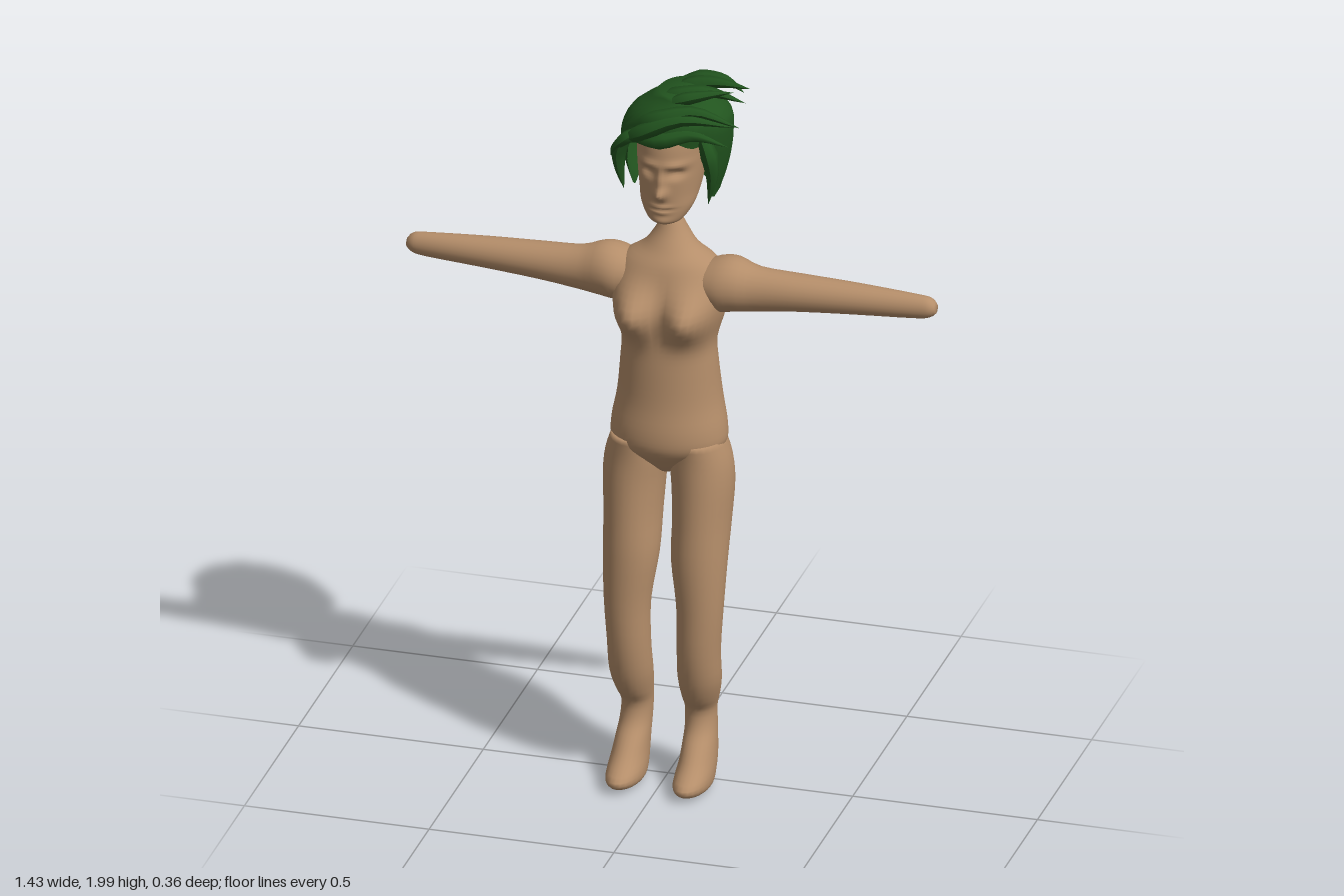
import * as THREE from 'three';

const skin = new THREE.MeshStandardMaterial({ color: 0xb58e6a });
skin.name = 'skin';
const green = new THREE.MeshStandardMaterial({ color: 0x22551f, side: THREE.DoubleSide });
green.name = 'hairGreen';

// Smooth interpolation through rows of numbers; t runs from 0 to rows.length - 1
function sample(rows, t) {
  const n = rows.length - 1;
  const i = Math.min(Math.floor(t), n - 1);
  const f = t - i;
  const row = (k) => rows[Math.max(0, Math.min(n, k))];
  return rows[i].map((b, c) => {
    const a = row(i - 1)[c], d = row(i + 1)[c], e = row(i + 2)[c];
    const m0 = (d - a) / 2, m1 = (e - b) / 2;
    return b + f * (m0 + f * (3 * (d - b) - 2 * m0 - m1 + f * (2 * (b - d) + m0 + m1)));
  });
}

// Index of a grid of closed rings, outward facing when the rings go upwards
function ringIndex(rings, seg) {
  const index = [];
  for (let i = 0; i < rings - 1; i++) {
    for (let j = 0; j < seg; j++) {
      const a = i * seg + j, b = i * seg + (j + 1) % seg;
      index.push(a, b, b + seg, a, b + seg, a + seg);
    }
  }
  return index;
}

function makeGeometry(pos, index) {
  const g = new THREE.BufferGeometry();
  g.setAttribute('position', new THREE.Float32BufferAttribute(pos, 3));
  g.setIndex(index);
  g.computeVertexNormals();
  return g;
}

// Closed loft; each section is [y, xMin, xMax, zMin, zMax], from the bottom up
function loft(sections, { seg = 24, sub = 3, deform = () => 0 } = {}) {
  const rings = (sections.length - 1) * sub + 1;
  const pos = [];
  const ends = [];
  for (let i = 0; i < rings; i++) {
    const [y, x0, x1, z0, z1] = sample(sections, i / sub);
    const cx = (x0 + x1) / 2, cz = (z0 + z1) / 2;
    for (let j = 0; j < seg; j++) {
      const a = (j / seg) * Math.PI * 2;
      const x = cx + Math.sin(a) * (x1 - x0) / 2;
      const z = cz + Math.cos(a) * (z1 - z0) / 2;
      pos.push(x, y, z + (Math.cos(a) > 0 ? deform(x, y) * Math.min(1, Math.cos(a) * 2) : 0));
    }
    if (i === 0 || i === rings - 1) ends.push([cx, y, cz]);
  }
  const index = ringIndex(rings, seg);
  const low = rings * seg, high = low + 1, last = (rings - 1) * seg;
  pos.push(...ends[0], ...ends[1]);
  for (let j = 0; j < seg; j++) {
    const k = (j + 1) % seg;
    index.push(low, k, j, high, last + j, last + k);
  }
  return makeGeometry(pos, index);
}

const bump = (x, y, cx, cy, sx, sy) =>
  Math.exp(-(((x - cx) / sx) ** 2) - (((y - cy) / sy) ** 2));
const even = (rows) => rows.map(([y, w, z0, z1]) => [y, -w, w, z0, z1]);

// Torso with neck: [y, half width, back, front]
const TORSO = even([
  [0.89, 0.03, -0.06, 0.03], [0.93, 0.10, -0.10, 0.07], [0.97, 0.15, -0.125, 0.10],
  [1.02, 0.154, -0.135, 0.105], [1.10, 0.14, -0.135, 0.095], [1.20, 0.13, -0.12, 0.09],
  [1.27, 0.127, -0.115, 0.085], [1.35, 0.148, -0.125, 0.08], [1.42, 0.155, -0.125, 0.07],
  [1.48, 0.13, -0.115, 0.055], [1.52, 0.075, -0.095, 0.03], [1.56, 0.045, -0.083, 0.005],
  [1.60, 0.024, -0.064, -0.014], [1.612, 0.012, -0.05, -0.026],
]);
const chest = (x, y) => 0.075 * bump(Math.abs(x), y, 0.078, 1.36, 0.06, 0.065);

// Leg and foot on the +x side
const LEG = [
  [0.008, 0.065, 0.12, 0.0, 0.12], [0.022, 0.045, 0.137, -0.03, 0.165],
  [0.045, 0.042, 0.14, -0.05, 0.178], [0.08, 0.045, 0.138, -0.06, 0.125],
  [0.12, 0.046, 0.134, -0.063, 0.082], [0.16, 0.046, 0.13, -0.063, 0.045],
  [0.21, 0.044, 0.128, -0.062, 0.035], [0.25, 0.04, 0.138, -0.058, 0.06],
  [0.31, 0.035, 0.15, -0.038, 0.083], [0.40, 0.037, 0.152, -0.022, 0.097],
  [0.52, 0.036, 0.16, -0.022, 0.1], [0.65, 0.018, 0.166, -0.052, 0.1],
  [0.76, 0.016, 0.17, -0.09, 0.092], [0.86, 0.01, 0.175, -0.105, 0.085],
  [0.93, 0.004, 0.169, -0.105, 0.082], [0.99, 0.015, 0.15, -0.1, 0.085],
];

// Arm: [distance out, bottom, top, back, front]
const ARM = [
  [0.06, 1.39, 1.47, -0.08, 0.03], [0.13, 1.355, 1.5, -0.1, 0.055],
  [0.18, 1.358, 1.505, -0.095, 0.052], [0.24, 1.365, 1.486, -0.076, 0.035],
  [0.35, 1.376, 1.477, -0.077, 0.024], [0.50, 1.385, 1.469, -0.074, 0.01],
  [0.66, 1.393, 1.459, -0.063, -0.006], [0.70, 1.4, 1.453, -0.06, -0.012],
  [0.716, 1.412, 1.437, -0.05, -0.024],
];

// Head: [y, half width, back, front]
const HEAD = even([
  [1.612, 0.025, 0.0, 0.05], [1.625, 0.048, -0.03, 0.064], [1.66, 0.07, -0.07, 0.066],
  [1.70, 0.08, -0.12, 0.068], [1.75, 0.087, -0.145, 0.071], [1.80, 0.09, -0.15, 0.07],
  [1.86, 0.088, -0.14, 0.06], [1.92, 0.06, -0.11, 0.02], [1.94, 0.02, -0.07, -0.02],
]);
function face(x, y) {
  const ax = Math.abs(x);
  return 0.026 * bump(x, y, 0, 1.707, 0.016, 0.017)    // nose tip
    + 0.012 * bump(x, y, 0, 1.742, 0.012, 0.03)        // nose bridge
    - 0.016 * bump(ax, y, 0.038, 1.763, 0.022, 0.013)  // eye sockets
    + 0.008 * bump(ax, y, 0.036, 1.788, 0.03, 0.01)    // brows
    + 0.007 * bump(x, y, 0, 1.668, 0.025, 0.006)       // upper lip
    + 0.006 * bump(x, y, 0, 1.652, 0.022, 0.006)       // lower lip
    - 0.006 * bump(x, y, 0, 1.66, 0.028, 0.003)        // mouth line
    + 0.005 * bump(x, y, 0, 1.625, 0.025, 0.012);      // chin
}

// Hair cap: rings hang from the crown to a hemline that is high over the face
const HAIR = [
  [1.67, -0.105, 0.12, -0.155, 0.04], [1.73, -0.122, 0.138, -0.172, 0.06],
  [1.79, -0.136, 0.152, -0.183, 0.075], [1.85, -0.134, 0.16, -0.175, 0.085],
  [1.91, -0.104, 0.158, -0.155, 0.08], [1.97, -0.03, 0.11, -0.11, 0.04],
];
function hairCap() {
  const seg = 48, rings = 16, pos = [];
  for (let i = 0; i < rings; i++) {
    for (let j = 0; j < seg; j++) {
      const a = (j / seg) * Math.PI * 2;
      const off = Math.abs(a > Math.PI ? a - 2 * Math.PI : a);
      const hem = 1.855 - 0.18 * THREE.MathUtils.smoothstep(off, 0.65, 1.25)
        + 0.008 * Math.sin(a * 9);
      const y = THREE.MathUtils.lerp(hem, 1.97, i / (rings - 1));
      const [, x0, x1, z0, z1] = sample(HAIR, THREE.MathUtils.clamp((y - 1.67) / 0.06, 0, 5));
      pos.push((x0 + x1) / 2 + Math.sin(a) * (x1 - x0) / 2, y,
        (z0 + z1) / 2 + Math.cos(a) * (z1 - z0) / 2);
    }
  }
  const index = ringIndex(rings, seg);
  const last = (rings - 1) * seg;
  pos.push(0.045, 1.982, -0.035);
  for (let j = 0; j < seg; j++) index.push(rings * seg, last + j, last + (j + 1) % seg);
  return makeGeometry(pos, index);
}

// A lock of hair: a tube that tapers to a point
function lock(points, radius) {
  const curve = new THREE.CatmullRomCurve3(points.map((p) => new THREE.Vector3(...p)));
  const steps = 10, sides = 6;
  const g = new THREE.TubeGeometry(curve, steps, radius, sides);
  const p = g.attributes.position, v = new THREE.Vector3();
  for (let i = 0; i < p.count; i++) {
    const t = Math.floor(i / (sides + 1)) / steps;
    const c = curve.getPointAt(t);
    v.fromBufferAttribute(p, i).sub(c).multiplyScalar(Math.min(1, 0.4 + t * 2) * (1 - t ** 2)).add(c);
    p.setXYZ(i, v.x, v.y, v.z);
  }
  g.computeVertexNormals();
  return g;
}
const LOCKS = [
  // fringe swept up to the +x side
  [[[-0.12, 1.83, 0.03], [-0.05, 1.88, 0.075], [0.06, 1.93, 0.075], [0.2, 1.92, 0.06]], 0.026],
  [[[-0.1, 1.87, 0.02], [-0.01, 1.92, 0.065], [0.09, 1.95, 0.06], [0.215, 1.925, 0.07]], 0.026],
  [[[-0.08, 1.85, 0.05], [0.0, 1.865, 0.085], [0.09, 1.89, 0.08], [0.19, 1.875, 0.088]], 0.024],
  // crown spikes
  [[[-0.06, 1.92, -0.02], [0.03, 1.965, 0.0], [0.11, 1.985, 0.0], [0.21, 1.965, 0.0]], 0.026],
  [[[-0.02, 1.94, -0.06], [0.06, 1.975, -0.06], [0.13, 1.99, -0.05], [0.21, 1.985, -0.045]], 0.024],
  [[[0.0, 1.95, -0.11], [0.07, 1.97, -0.11], [0.13, 1.975, -0.1], [0.18, 1.95, -0.09]], 0.024],
  [[[0.0, 1.95, 0.03], [0.07, 1.975, 0.03], [0.14, 1.992, 0.02], [0.18, 1.996, 0.01]], 0.02],
  // locks framing the face
  [[[-0.08, 1.87, 0.06], [-0.115, 1.82, 0.05], [-0.12, 1.76, 0.04], [-0.11, 1.69, 0.03]], 0.024],
  [[[-0.06, 1.88, 0.06], [-0.1, 1.85, 0.065], [-0.128, 1.82, 0.06], [-0.14, 1.79, 0.05]], 0.02],
  [[[0.1, 1.89, 0.05], [0.125, 1.83, 0.05], [0.13, 1.76, 0.035], [0.115, 1.67, 0.02]], 0.026],
];

export function createModel() {
  const model = new THREE.Group();
  model.name = 'figure';
  const add = (name, geometry, material) => {
    const mesh = new THREE.Mesh(geometry, material);
    mesh.name = name;
    model.add(mesh);
  };

  add('torso', loft(TORSO, { seg: 48, sub: 4, deform: chest }), skin);
  add('head', loft(HEAD, { seg: 72, sub: 8, deform: face }), skin);

  // Limbs on both sides
  for (const [side, s] of [['left', 1], ['right', -1]]) {
    const across = (rows, k) => rows.map(([y, a, b, z0, z1]) =>
      [y, Math.min(k * a, k * b), Math.max(k * a, k * b), z0, z1]);
    add(side + 'Leg', loft(across(LEG, s)), skin);
    add(side + 'Arm', loft(across(ARM, -s)).rotateZ(-s * Math.PI / 2), skin);
  }

  add('hairCap', hairCap(), green);
  LOCKS.forEach(([points, radius], i) => add('hairLock' + (i + 1), lock(points, radius), green));
  return model;
}
